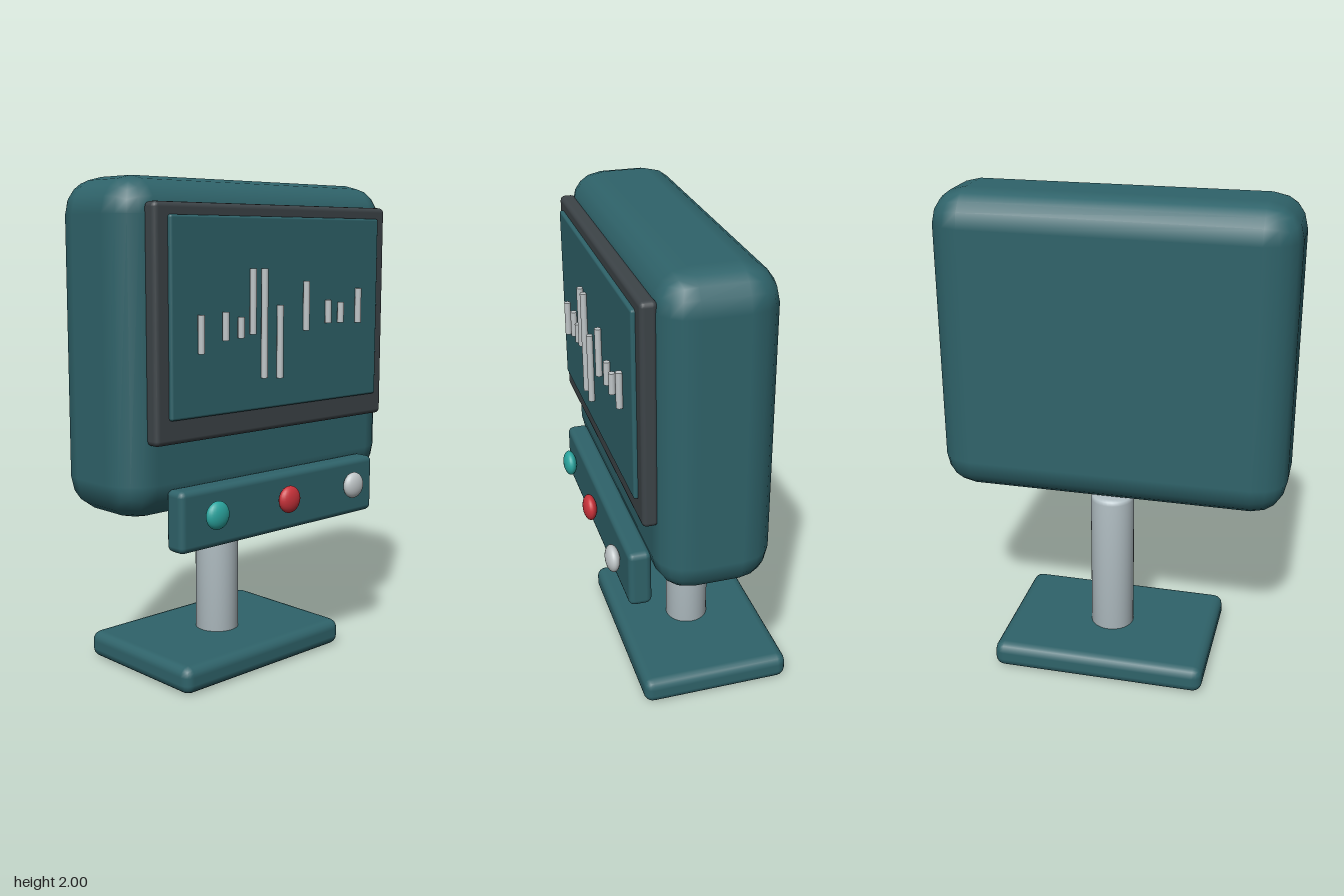
import * as THREE from 'three';
import { RoundedBoxGeometry } from 'three/addons/geometries/RoundedBoxGeometry.js';

function material(name, color) {
  const m = new THREE.MeshStandardMaterial({ color });
  m.name = name;
  return m;
}

export function createModel() {
  const group = new THREE.Group();
  const teal = material('teal shell', 0x2f636a);
  const charcoal = material('charcoal', 0x3d4448);
  const metal = material('pale metal', 0xb4c1c6);
  const silver = material('silver', 0xc0c6c8);
  const aqua = material('aqua', 0x2ba59f);
  const red = material('red', 0xc8323a);

  function add(name, geometry, mat, x, y, z) {
    const mesh = new THREE.Mesh(geometry, mat);
    mesh.name = name;
    mesh.position.set(x, y, z);
    group.add(mesh);
    return mesh;
  }

  // Rounded box given by its extents in y and z, centred on x
  function slab(name, mat, width, y0, y1, z0, z1, radius, segments = 2) {
    const geometry = new RoundedBoxGeometry(width, y1 - y0, z1 - z0, segments, radius);
    return add(name, geometry, mat, 0, (y0 + y1) / 2, (z0 + z1) / 2);
  }

  // Housing, screen and control panel
  slab('housing', teal, 1.46, 0.73, 2, -0.2, 0.255, 0.14);
  slab('screenBezel', charcoal, 1.27, 1.024, 1.903, 0.235, 0.3, 0.02);
  slab('screen', teal, 1.148, 1.116, 1.857, 0.28, 0.316, 0.01);
  slab('controlPanel', teal, 1.094, 0.61, 0.85, 0.24, 0.333, 0.025);

  // Stand
  slab('base', teal, 0.9, 0, 0.112, -0.39, 0.247, 0.04);
  const poleProfile = [[0, 0], [0.092, 0], [0.092, 0.63], [0.086, 0.645], [0.072, 0.652], [0, 0.652]];
  const poleGeometry = new THREE.LatheGeometry(poleProfile.map(([r, y]) => new THREE.Vector2(r, y)), 32);
  add('pole', poleGeometry, metal, 0, 0.085, -0.07);

  // Waveform bars: x, bottom, top
  const bars = [
    [-0.44, 1.355, 1.497], [-0.317, 1.397, 1.503], [-0.238, 1.402, 1.481], [-0.175, 1.413, 1.661],
    [-0.113, 1.24, 1.661], [-0.027, 1.233, 1.518], [0.122, 1.413, 1.608], [0.252, 1.436, 1.529],
    [0.328, 1.434, 1.518], [0.437, 1.429, 1.571],
  ];
  for (const [x, y0, y1] of bars) {
    const geometry = new THREE.CylinderGeometry(0.0135, 0.0135, y1 - y0, 10);
    add('waveformBar', geometry, silver, x, (y0 + y1) / 2, 0.327);
  }

  // Domed buttons
  const buttonGeometry = new THREE.SphereGeometry(0.055, 24, 16);
  [[-0.39, aqua, 'aquaButton'], [0, red, 'redButton'], [0.39, silver, 'silverButton']].forEach(([x, mat, name]) => {
    add(name, buttonGeometry, mat, x, 0.745, 0.36).scale.z = 0.52;
  });

  return group;
}
